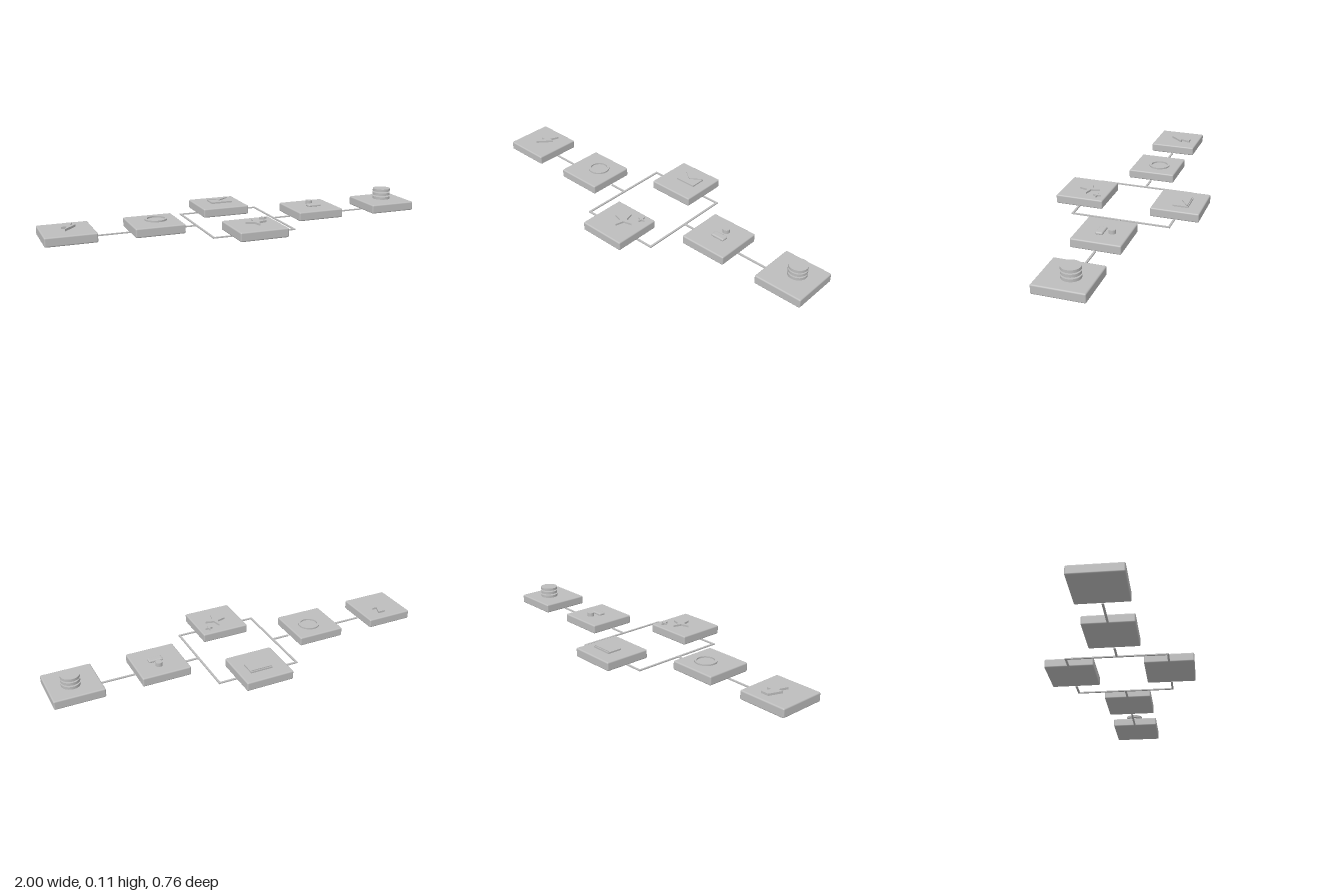
import * as THREE from 'three';
import { RoundedBoxGeometry } from 'three/addons/geometries/RoundedBoxGeometry.js';

export function createModel() {
  const group = new THREE.Group();
  const grey = new THREE.MeshStandardMaterial({ color: 0xbdbdbd });
  grey.name = 'light grey';
  const TOP = 0.05;

  const add = (name, geometry, x = 0, y = 0, z = 0) => {
    const mesh = new THREE.Mesh(geometry, grey);
    mesh.name = name;
    mesh.position.set(x, y, z);
    group.add(mesh);
    return mesh;
  };
  // Outline drawn in x/z, raised along y
  const raise = (shape, height) =>
    new THREE.ExtrudeGeometry(shape, { depth: height, bevelEnabled: false, curveSegments: 32 })
      .rotateX(-Math.PI / 2);
  const outline = (points) => new THREE.Shape(points.map(([x, z]) => new THREE.Vector2(x, -z)));

  // Six tiles
  const tiles = [[-0.875, 0], [-0.44, 0], [0, -0.255], [0, 0.253], [0.435, 0], [0.873, 0]];
  for (const [x, z] of tiles) {
    add('tile', new RoundedBoxGeometry(0.253, 0.047, 0.253, 3, 0.007), x, 0.0265, z);
  }

  // Thin connectors on the floor, mirrored left and right
  const bar = (x0, x1, z0, z1) => add('connector',
    new THREE.BoxGeometry(x1 - x0, 0.006, z1 - z0), (x0 + x1) / 2, 0.003, (z0 + z1) / 2);
  const w = 0.005;
  for (const s of [-1, 1]) {
    const run = (a, b, z) => bar(Math.min(s * a, s * b), Math.max(s * a, s * b), z - w, z + w);
    run(0.31, 0.215, 0);
    run(0.75, 0.56, 0);
    for (const z of [-0.255, 0.253]) run(0.215, 0.12, z);
    bar(s * 0.215 - w, s * 0.215 + w, -0.26, 0.258);
  }

  // Lightning bolt
  add('bolt', raise(outline([
    [-0.873, -0.08], [-0.832, -0.08], [-0.85, -0.032], [-0.825, -0.032],
    [-0.888, 0.04], [-0.872, -0.01], [-0.898, -0.01],
  ]), 0.011), 0, TOP, 0);

  // Ring
  const ring = new THREE.Shape().absarc(0, 0, 0.056, 0, Math.PI * 2);
  ring.holes.push(new THREE.Path().absarc(0, 0, 0.045, 0, Math.PI * 2, true));
  add('ring', raise(ring, 0.008), -0.425, TOP, -0.016);

  // Envelope with a triangular flap
  add('envelope', new THREE.BoxGeometry(0.116, 0.008, 0.08), 0.013, TOP + 0.004, -0.271);
  add('envelopeFlap', raise(outline([[-0.042, -0.306], [0.068, -0.306], [0.013, -0.266]]), 0.005),
    0, TOP + 0.008, 0);

  // Two four-pointed sparkles
  const sparkle = (r) => {
    const points = [];
    for (let i = 0; i < 8; i++) {
      const a = i * Math.PI / 4, d = i % 2 ? r * 0.3 : r;
      points.push([Math.cos(a) * d, Math.sin(a) * d]);
    }
    return raise(outline(points), 0.01);
  };
  add('largeSparkle', sparkle(0.056), 0.013, TOP, 0.236);
  add('smallSparkle', sparkle(0.021), 0.077, TOP, 0.172);

  // Person: round head above a rounded shoulder pad
  add('personHead', new THREE.CylinderGeometry(0.018, 0.018, 0.02, 32), 0.446, TOP + 0.01, -0.043);
  add('personBody', new RoundedBoxGeometry(0.074, 0.016, 0.038, 4, 0.007), 0.447, TOP + 0.004, 0.011);

  // Stack of three floating discs
  for (const y of [0.057, 0.079, 0.1]) {
    add('stackDisc', new THREE.CylinderGeometry(0.047, 0.047, 0.014, 40), 0.885, y, -0.016);
  }
  return group;
}
